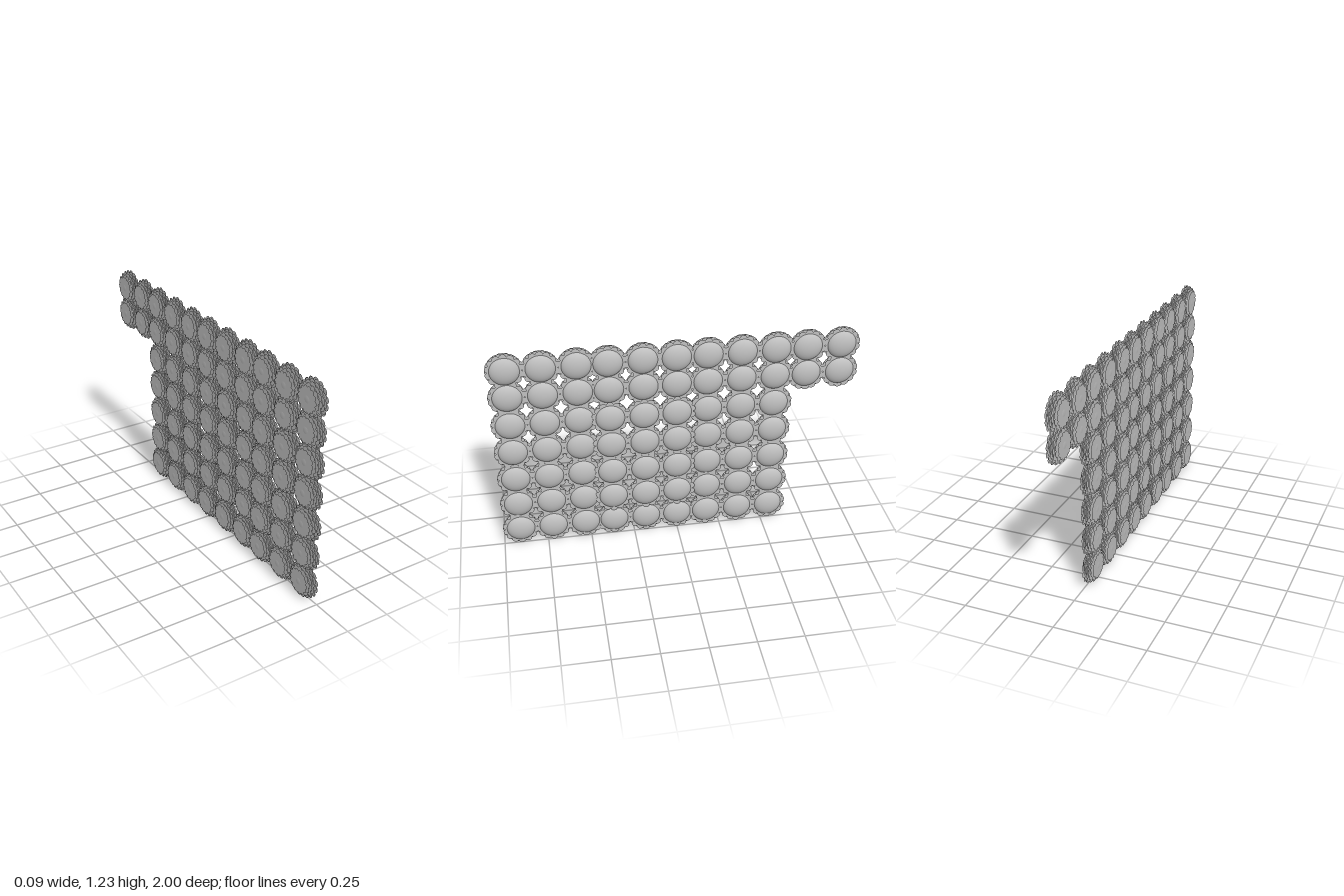
import * as THREE from 'three';

const silver = new THREE.MeshStandardMaterial({ color: 0xc0c0c0, side: THREE.DoubleSide });
silver.name = 'silver grey';

// Thin scalloped disc facing x
function petalDisc(radius, petals, turn) {
  const shape = new THREE.Shape();
  const steps = 6;
  for (let i = 0; i < petals * steps; i++) {
    const a = (i / (petals * steps)) * Math.PI * 2 + turn;
    const bump = Math.sqrt(Math.sin(((i % steps) / steps) * Math.PI));
    const r = radius * (0.87 + 0.13 * bump);
    if (i === 0) shape.moveTo(r * Math.cos(a), r * Math.sin(a));
    else shape.lineTo(r * Math.cos(a), r * Math.sin(a));
  }
  shape.closePath();
  return new THREE.ShapeGeometry(shape).rotateY(Math.PI / 2);
}

export function createModel() {
  const model = new THREE.Group();
  model.name = 'rosettePanel';

  // Flattened button with its pole along x
  const dome = new THREE.SphereGeometry(1, 28, 14).rotateZ(-Math.PI / 2).scale(0.039, 0.082, 0.082);

  // Petal layers: x offset and radius, shrinking towards the back
  const petals = 14;
  const layers = [[0.01, 0.102], [0, 0.102], [-0.01, 0.099], [-0.02, 0.094], [-0.03, 0.085], [-0.038, 0.072]]
    .map(([x, r], i) => ({ x, geo: petalDisc(r, petals, ((i % 2) * Math.PI) / petals) }));

  const rows = [1.128, 0.967, 0.795, 0.624, 0.447, 0.276, 0.104];
  const columns = [0.9, 0.715, 0.53, 0.365, 0.18, 0, -0.17, -0.355, -0.54, -0.713, -0.9];

  rows.forEach((y, r) => {
    columns.forEach((z, c) => {
      // Only the top two rows run the full length
      if (r > 1 && c > 8) return;
      const rosette = new THREE.Group();
      rosette.name = `rosette_${r + 1}_${c + 1}`;
      // The middle of the panel stands slightly forward
      const raised = r >= 2 && r <= 5 && c >= 3 && c <= 5;
      rosette.position.set(raised ? 0.003 : -0.008, y, z);

      const button = new THREE.Mesh(dome, silver);
      button.name = 'button';
      rosette.add(button);

      layers.forEach(({ x, geo }, i) => {
        const disc = new THREE.Mesh(geo, silver);
        disc.name = `petalLayer${i + 1}`;
        disc.position.x = x;
        rosette.add(disc);
      });
      model.add(rosette);
    });
  });
  return model;
}
